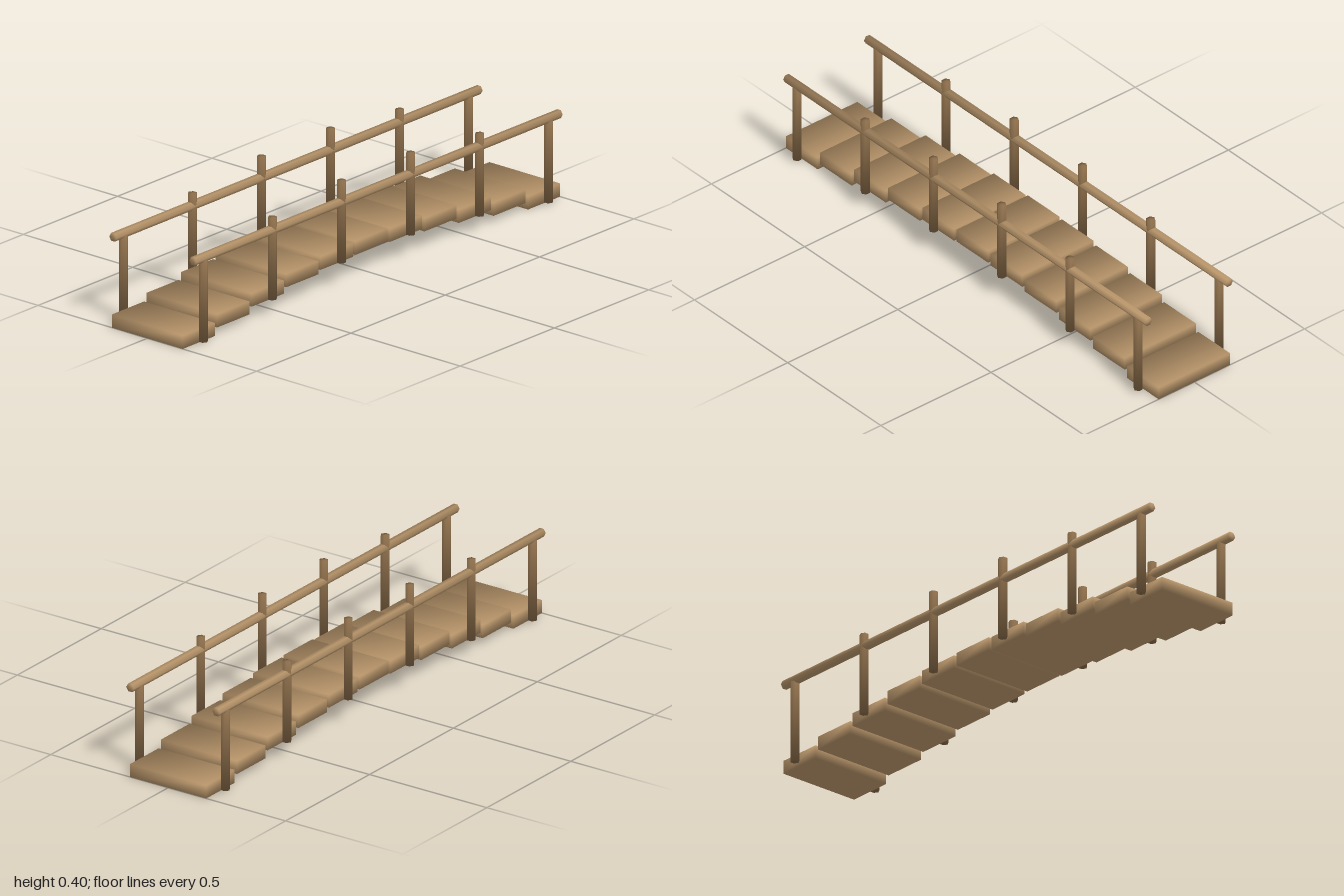
import * as THREE from 'three';
import { mergeVertices } from 'three/addons/utils/BufferGeometryUtils.js';

const plankWood = new THREE.MeshStandardMaterial({ color: 0xb8956a });
plankWood.name = 'plankWood';
const postWood = new THREE.MeshStandardMaterial({ color: 0x8b6d4a });
postWood.name = 'postWood';

const STEP = 0.183, PLANKS = 11, RISE = 0.091, THICK = 0.049;
const POST_R = 0.0167, POST_H = 0.303, SIDE_Z = 0.1833, RAIL_Y = 0.3205;

// Weld a geometry and give it fully rounded normals from a rule on position.
function soften(geometry, rule) {
  geometry.deleteAttribute('uv');
  geometry.deleteAttribute('normal');
  const g = mergeVertices(geometry, 1e-5);
  const p = g.attributes.position, v = new THREE.Vector3(), normals = [];
  for (let i = 0; i < p.count; i++) {
    rule(v.fromBufferAttribute(p, i)).normalize();
    normals.push(v.x, v.y, v.z);
  }
  g.setAttribute('normal', new THREE.Float32BufferAttribute(normals, 3));
  return g;
}

// Box whose corner normals point along the diagonals
const softBox = (w, h, d) => soften(new THREE.BoxGeometry(w, h, d),
  v => v.set(Math.sign(v.x), Math.sign(v.y), Math.sign(v.z)));

// Six-sided pole whose sides blend into its caps
const softPole = (r, h) => soften(new THREE.CylinderGeometry(r, r, h, 6),
  v => v.set(v.x / r, Math.sign(v.y) * 0.77, v.z / r));

export function createModel() {
  const bridge = new THREE.Group();
  bridge.name = 'footbridge';
  const add = (name, geometry, material, x, y, z) => {
    const mesh = new THREE.Mesh(geometry, material);
    mesh.name = name;
    mesh.position.set(x, y, z);
    bridge.add(mesh);
    return mesh;
  };

  const plank = softBox(0.17, THICK, 0.324);
  const post = softPole(POST_R, POST_H);
  const rail = softPole(POST_R, 1.94).rotateZ(Math.PI / 2);

  // Arched deck, with a pair of posts at every second plank
  for (let i = 0; i < PLANKS; i++) {
    const x = (i - (PLANKS - 1) / 2) * STEP;
    const base = RISE * Math.sin(Math.PI * i / (PLANKS - 1));
    add('plank', plank, plankWood, x, base + THICK / 2, 0);
    if (i % 2 === 0) {
      for (const s of [1, -1]) {
        add(s > 0 ? 'frontPost' : 'backPost', post, postWood, x, base + 0.01 + POST_H / 2, s * SIDE_Z);
      }
    }
  }

  // Straight handrails
  add('frontRail', rail, plankWood, 0, RAIL_Y, SIDE_Z);
  add('backRail', rail, plankWood, 0, RAIL_Y, -SIDE_Z);
  return bridge;
}
